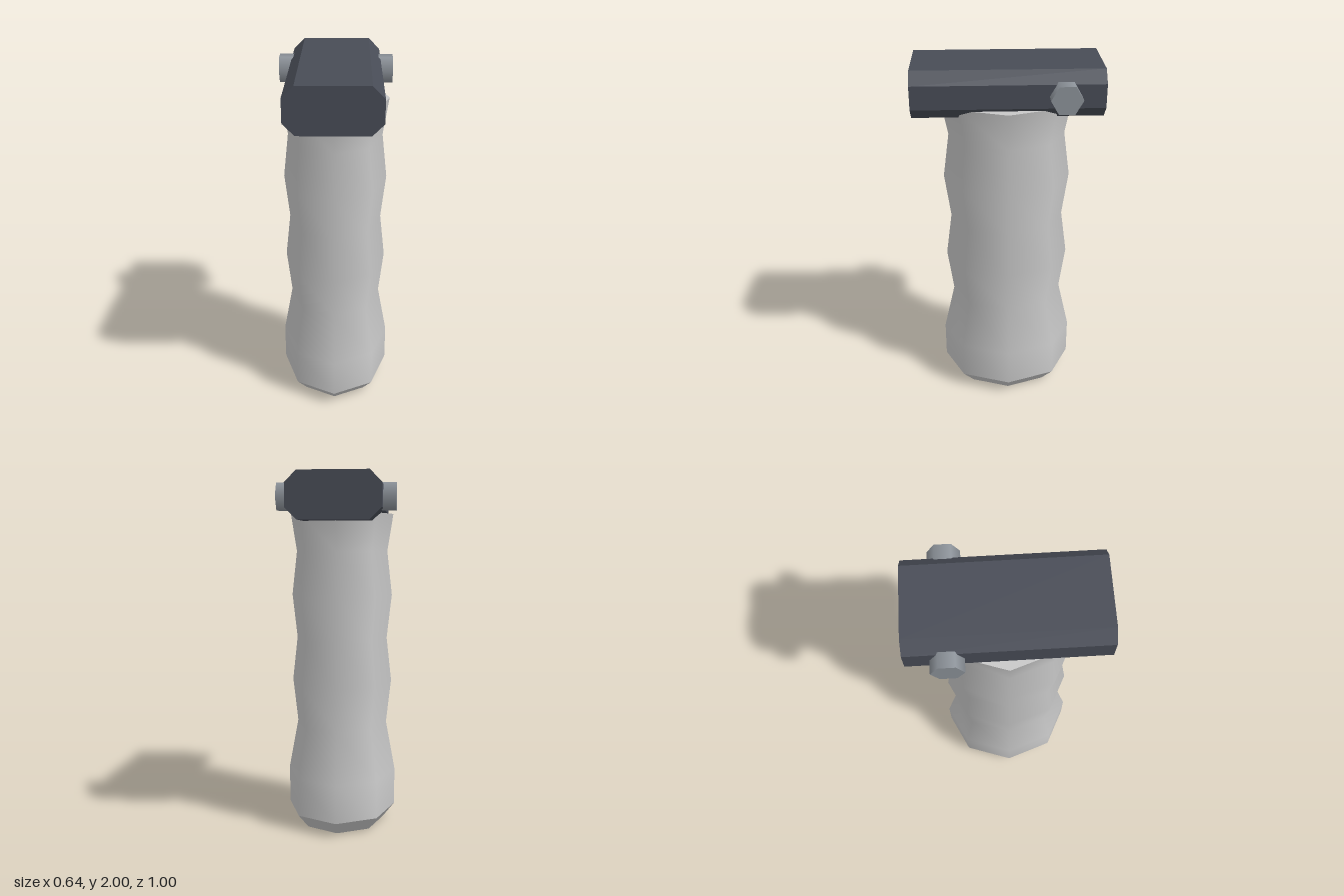
import * as THREE from 'three';

export function createModel() {
  const model = new THREE.Group();
  const mat = (name, color) => {
    const m = new THREE.MeshStandardMaterial({ color });
    m.name = name;
    return m;
  };
  const lightGrey = mat('lightGrey', 0xc8c8c8);
  const slate = mat('slate', 0x484c56);
  const steel = mat('steel', 0x8c9299);
  const black = mat('black', 0x1a1a1a);

  const add = (name, geometry, material, parent = model) => {
    const mesh = new THREE.Mesh(geometry, material);
    mesh.name = name;
    parent.add(mesh);
    return mesh;
  };

  // Grip: eight-sided smooth lathe, deeper than it is wide, with finger grooves
  const grip = new THREE.Group();
  grip.name = 'grip';
  grip.scale.z = 1.22;
  model.add(grip);
  const lathe = (points) =>
    new THREE.LatheGeometry(points.map(([r, y]) => new THREE.Vector2(r, y)), 8);
  add('gripBody', lathe([
    [0.315, 0.085], [0.315, 0.3], [0.262, 0.585], [0.29, 0.835], [0.262, 1.085],
    [0.29, 1.335], [0.262, 1.585], [0.295, 1.795],
  ]), lightGrey, grip);
  add('gripBevel', lathe([[0.248, 0], [0.315, 0.085]]), lightGrey, grip);
  add('gripTop', lathe([[0.295, 1.795], [0, 1.795]]), lightGrey, grip);
  add('gripBase', lathe([[0, 0], [0.248, 0]]), black, grip);

  // Mounting block: chamfered bar running front to back
  const w = 0.25, h = 0.125, c = 0.0625;
  const section = new THREE.Shape([
    [w - c, -h], [w, -h + c], [w, h - c], [w - c, h],
    [-w + c, h], [-w, h - c], [-w, -h + c], [-w + c, -h],
  ].map(([x, y]) => new THREE.Vector2(x, y)));
  const block = new THREE.ExtrudeGeometry(section, { depth: 1, bevelEnabled: false });
  block.translate(0, 2 - h, -0.5);
  add('mountingBlock', block, slate);

  // Hexagonal cross bolt through the rear of the block
  const bolt = add('crossBolt', new THREE.CylinderGeometry(0.083, 0.083, 0.64, 6), steel);
  bolt.rotation.z = Math.PI / 2;
  bolt.position.set(0, 1.876, -0.292);

  return model;
}
